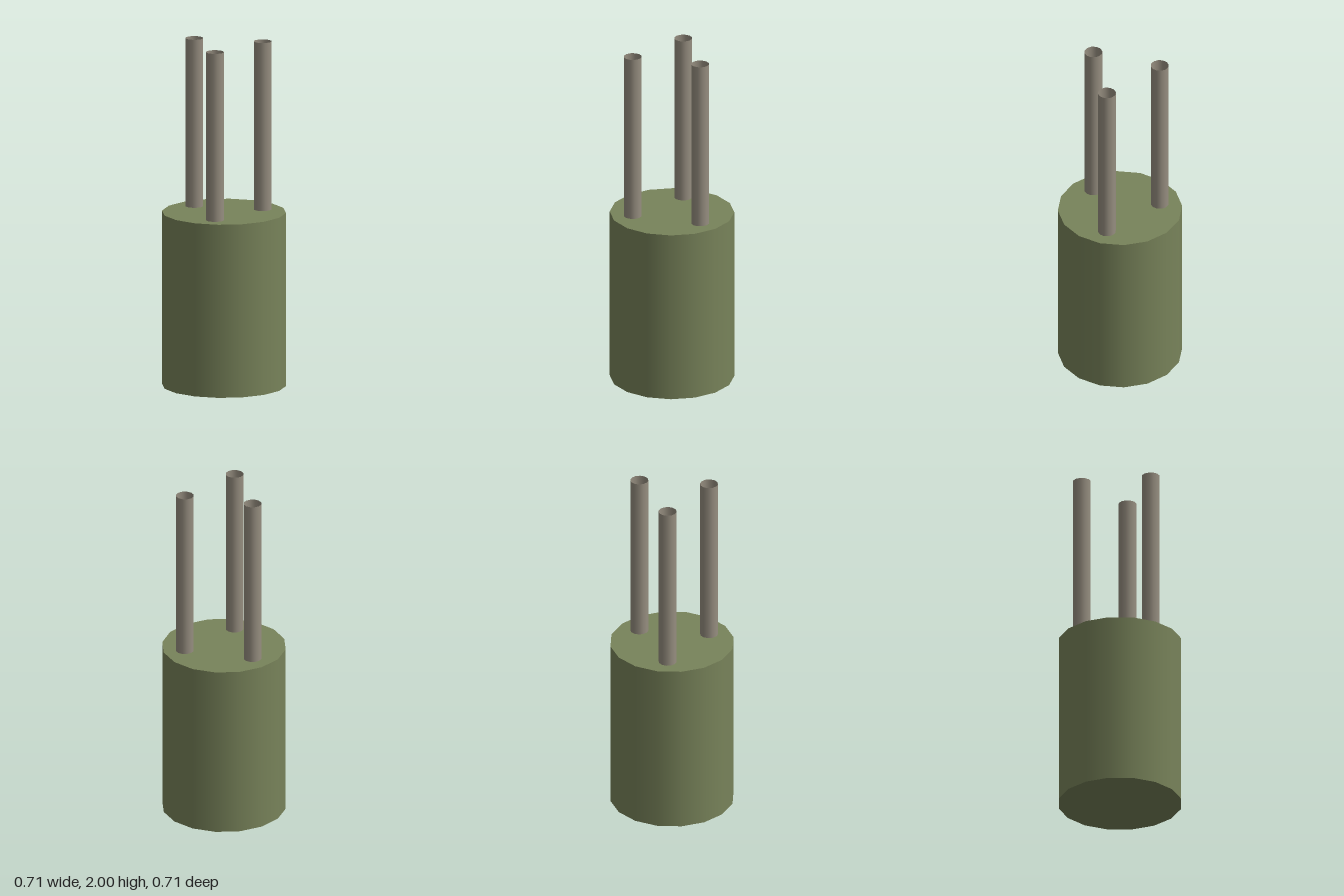
import * as THREE from 'three';

const BODY_RADIUS = 0.357;
const BODY_HEIGHT = 1.015;
const LEAD_RADIUS = 0.052;
const LEAD_CIRCLE = 0.232;
const TOP = 2;

export function createModel() {
  const model = new THREE.Group();
  model.name = 'threeLeadComponent';

  // Solid sixteen-sided body with smooth walls
  const bodyGeometry = new THREE.CylinderGeometry(BODY_RADIUS, BODY_RADIUS, BODY_HEIGHT, 16);
  const body = new THREE.Mesh(bodyGeometry, new THREE.MeshStandardMaterial({ color: 0x78835a }));
  body.name = 'body';
  body.position.y = BODY_HEIGHT / 2;
  model.add(body);

  // Three open tubular leads, evenly spaced on a circle
  const leadHeight = TOP - BODY_HEIGHT;
  const leadGeometry = new THREE.CylinderGeometry(LEAD_RADIUS, LEAD_RADIUS, leadHeight, 12, 1, true);
  const leadMaterial = new THREE.MeshStandardMaterial({ color: 0x968e80, side: THREE.DoubleSide });
  for (let i = 0; i < 3; i++) {
    const angle = (i * Math.PI * 2) / 3;
    const lead = new THREE.Mesh(leadGeometry, leadMaterial);
    lead.name = `lead${i + 1}`;
    lead.position.set(LEAD_CIRCLE * Math.cos(angle), BODY_HEIGHT + leadHeight / 2, LEAD_CIRCLE * Math.sin(angle));
    model.add(lead);
  }

  return model;
}
